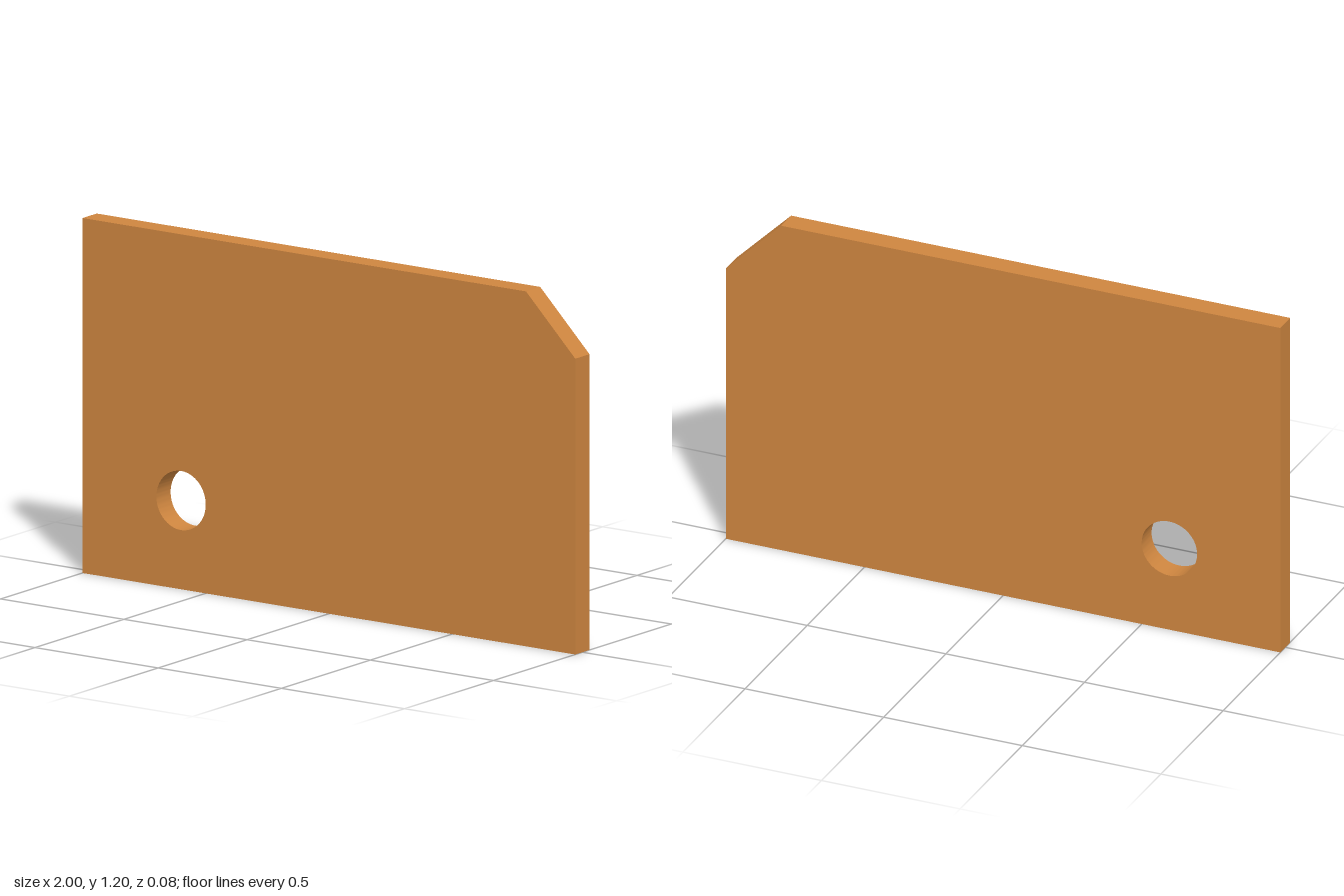
import * as THREE from 'three';
import { toCreasedNormals } from 'three/addons/utils/BufferGeometryUtils.js';

const THICKNESS = 0.08;

export function createModel() {
  const group = new THREE.Group();
  group.name = 'drilledPlate';

  // Plate outline with one chamfered top corner
  const outline = new THREE.Shape([
    [-1, 0], [1, 0], [1, 1], [0.8, 1.2], [-1, 1.2],
  ].map(([x, y]) => new THREE.Vector2(x, y)));

  // Round through-hole near the lower corner
  outline.holes.push(new THREE.Path().absarc(-0.6, 0.3, 0.1, 0, Math.PI * 2, true));

  const extruded = new THREE.ExtrudeGeometry(outline, {
    depth: THICKNESS, bevelEnabled: false, curveSegments: 48,
  }).translate(0, 0, -THICKNESS / 2);

  // Smooth hole wall, sharp plate edges
  const plate = new THREE.Mesh(
    toCreasedNormals(extruded, Math.PI / 6),
    new THREE.MeshStandardMaterial({ color: 0xcd853f }),
  );
  plate.name = 'plate';
  group.add(plate);

  return group;
}
